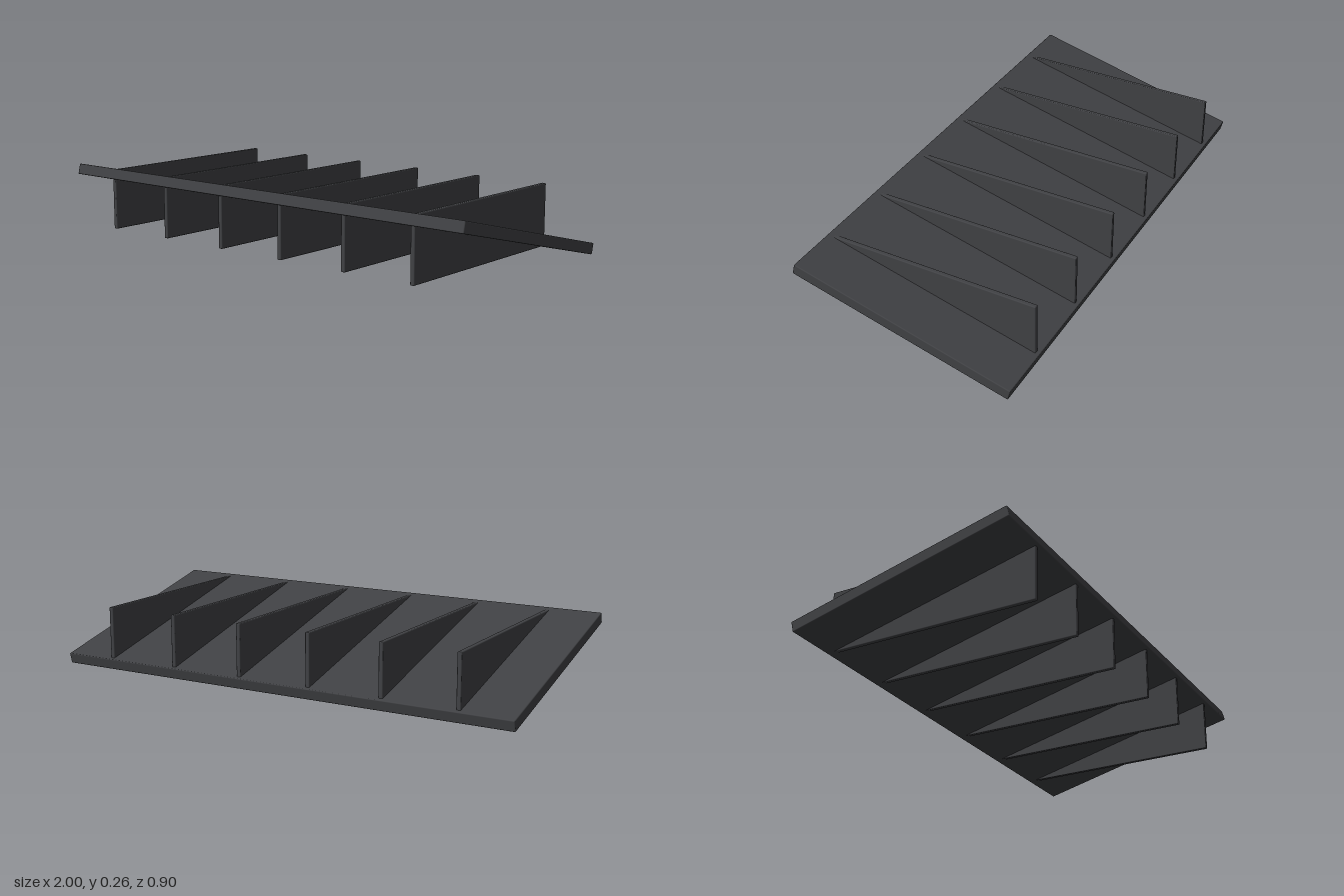
import * as THREE from 'three';
import { RoundedBoxGeometry } from 'three/addons/geometries/RoundedBoxGeometry.js';

export function createModel() {
  const group = new THREE.Group();
  group.name = 'finnedRamp';
  const material = new THREE.MeshStandardMaterial({ color: 0x404144 });
  const midY = 0.134;

  function addBox(name, w, h, d, x, tilt = 0) {
    const mesh = new THREE.Mesh(new RoundedBoxGeometry(w, h, d, 2, 0.004), material);
    mesh.name = name;
    mesh.position.set(x, midY, 0);
    mesh.rotation.x = tilt;
    group.add(mesh);
  }

  // sloping plate, high at the front
  addBox('slopingPlate', 2, 0.045, 0.922, 0, -0.243);

  // upright fins passing through the plate
  const finCount = 6, spacing = 0.312;
  for (let i = 0; i < finCount; i++) {
    addBox('fin' + (i + 1), 0.018, 0.254, 0.876, (i - (finCount - 1) / 2) * spacing);
  }
  return group;
}
